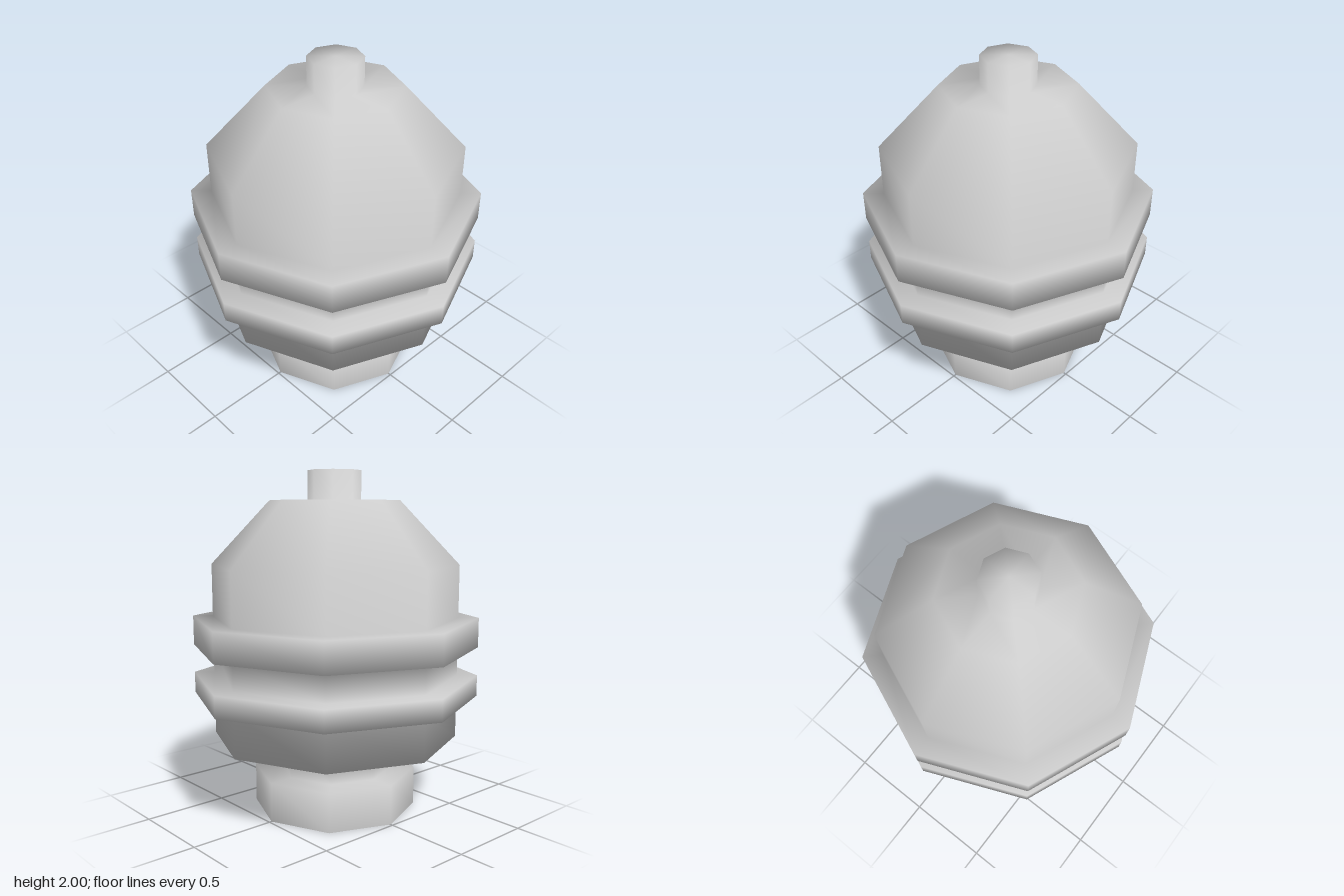
import * as THREE from 'three';

// Eight-sided turned body with smooth shading, hollow and open underneath.
export function createModel() {
  const group = new THREE.Group();
  group.name = 'turnedFitting';

  // [radius, height] from the open foot up to the closed tip
  const profile = [
    [0.485, 0], [0.485, 0.23],                            // foot
    [0.34, 0.23], [0.34, 0.43],                           // neck
    [0.73, 0.43], [0.73, 0.68],                           // lower body
    [0.85, 0.68], [0.85, 0.805],                          // lower flange
    [0.73, 0.805], [0.73, 0.975],                         // groove
    [0.85, 0.975], [0.85, 1.15],                          // upper flange
    [0.73, 1.15], [0.73, 1.46], [0.38, 1.83],             // dome
    [0.155, 1.83], [0.155, 2], [0, 2],                    // tip
  ].map(([r, y]) => new THREE.Vector2(r, y));

  const body = new THREE.Mesh(
    new THREE.LatheGeometry(profile, 8),
    new THREE.MeshStandardMaterial({ color: 0xcccccc, side: THREE.DoubleSide })
  );
  body.name = 'flangedBody';
  group.add(body);
  return group;
}
